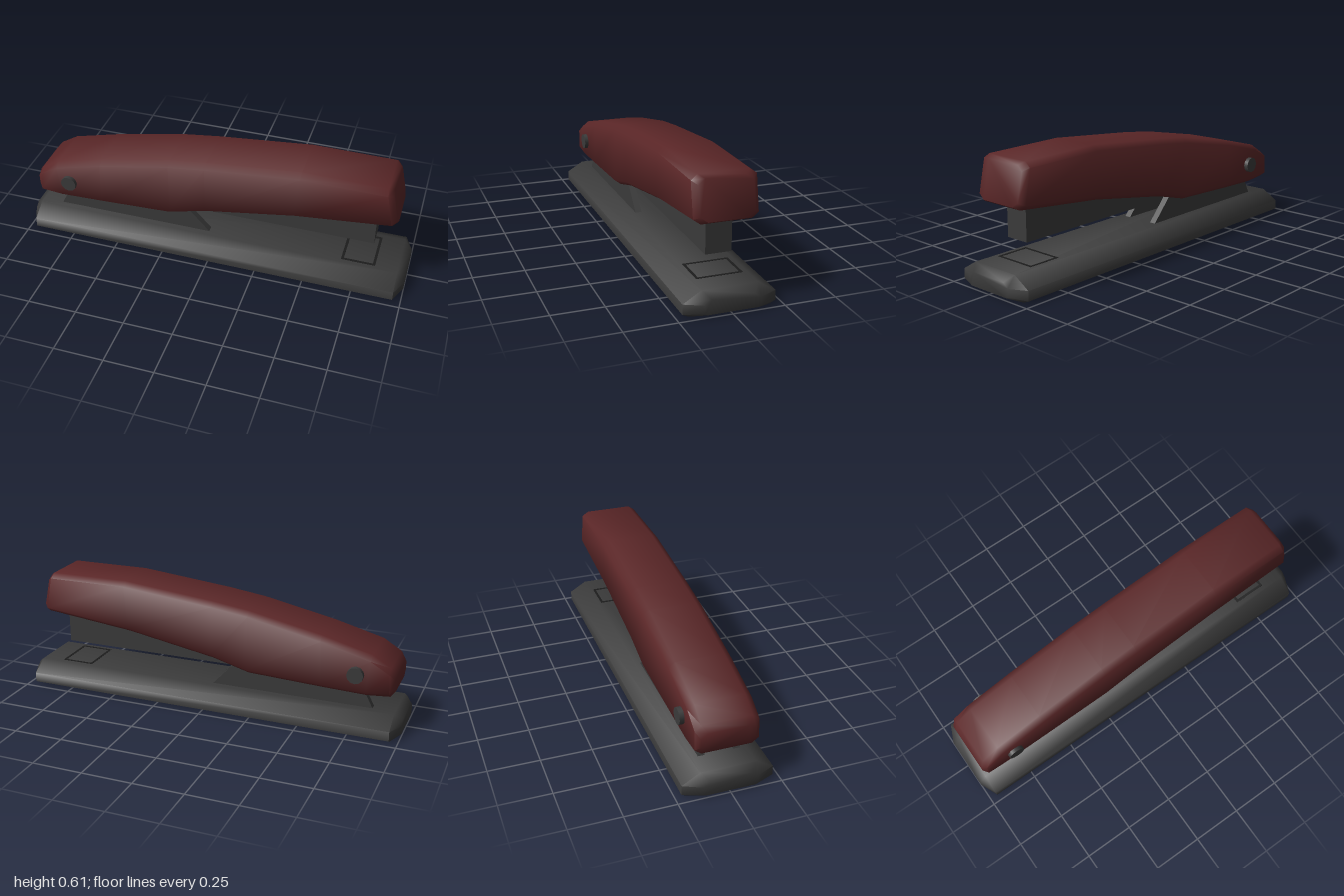
import * as THREE from 'three';
import { toCreasedNormals } from 'three/addons/utils/BufferGeometryUtils.js';

// Skin a row of equally sized rings (running towards +x) and close both ends.
function loft(rings, crease) {
  const n = rings[0].length, pos = rings.flat(2), idx = [];
  for (let r = 0; r < rings.length - 1; r++) {
    for (let i = 0; i < n; i++) {
      const a = r * n + i, b = r * n + (i + 1) % n;
      idx.push(a, b + n, b, a, a + n, b + n);
    }
  }
  const last = (rings.length - 1) * n;
  for (let i = 1; i < n - 1; i++) {
    idx.push(0, i, i + 1);
    idx.push(last, last + i + 1, last + i);
  }
  const geo = new THREE.BufferGeometry();
  geo.setAttribute('position', new THREE.Float32BufferAttribute(pos, 3));
  geo.setIndex(idx);
  return toCreasedNormals(geo, crease);
}

// Eight-sided arm ring between a top point and a bottom point, with bevelled corners.
function armRing([tx, ty, bx, by, hw]) {
  const at = (t, z) => [tx + (bx - tx) * t, ty + (by - ty) * t, z];
  const t = 0.024 / (ty - by), zi = hw - 0.033;
  return [at(0, zi), at(0, -zi), at(t, -hw), at(1 - t, -hw),
    at(1, -zi), at(1, zi), at(1 - t, hw), at(t, hw)];
}

// Base ring: wide low sides, long sloping shoulders, flat top.
function baseRing([x, top, shoulder, low, bottom, topZ, sideZ, bottomZ]) {
  return [[x, top, topZ], [x, top, -topZ], [x, shoulder, -sideZ], [x, low, -sideZ],
    [x, bottom, -bottomZ], [x, bottom, bottomZ], [x, low, sideZ], [x, shoulder, sideZ]];
}

export function createModel() {
  const model = new THREE.Group();
  const mat = (name, color) => {
    const m = new THREE.MeshStandardMaterial({ color });
    m.name = name;
    return m;
  };
  const red = mat('dark red', 0x5a2627);
  const grey = mat('charcoal', 0x3b3b3b);
  const black = mat('groove black', 0x1c1c1c);

  const add = (name, geo, material, x = 0, y = 0, z = 0) => {
    const mesh = new THREE.Mesh(geo, material);
    mesh.name = name;
    mesh.position.set(x, y, z);
    model.add(mesh);
  };

  // Base plate with tapered ends
  add('base', loft([
    [-1, 0.085, 0.062, 0.022, 0.015, 0.1, 0.13, 0.12],
    [-0.96, 0.117, 0.064, 0.015, 0.002, 0.133, 0.22, 0.19],
    [0.96, 0.117, 0.064, 0.015, 0.002, 0.133, 0.22, 0.19],
    [1, 0.085, 0.062, 0.022, 0.015, 0.1, 0.13, 0.12],
  ].map(baseRing), 1.1), grey);

  // Curved upper arm: top x, top y, bottom x, bottom y, half width
  add('arm', loft([
    [-0.955, 0.315, -0.955, 0.222, 0.13],
    [-0.93, 0.345, -0.935, 0.2, 0.153],
    [-0.84, 0.4, -0.82, 0.19, 0.153],
    [-0.59, 0.465, -0.6, 0.197, 0.153],
    [-0.22, 0.54, -0.22, 0.213, 0.153],
    [-0.03, 0.565, -0.03, 0.265, 0.153],
    [0.45, 0.613, 0.43, 0.345, 0.153],
    [0.865, 0.61, 0.905, 0.396, 0.153],
    [0.89, 0.594, 0.93, 0.41, 0.128],
  ].map(armRing), 1.0), red);

  // Staple magazine under the arm
  add('magazine', new THREE.BoxGeometry(1.02, 0.167, 0.126), grey, 0.313, 0.3, -0.001);

  // Bracket side plates
  const side = new THREE.Shape([[-0.85, 0.115], [-0.02, 0.115], [-0.145, 0.25], [-0.78, 0.25]]
    .map(([x, y]) => new THREE.Vector2(x, y)));
  const plate = new THREE.ExtrudeGeometry(side, { depth: 0.033, bevelEnabled: false });
  add('bracketLeft', plate, grey, 0, 0, 0.07);
  add('bracketRight', plate, grey, 0, 0, -0.102);

  // Hinge pin through the back of the arm
  const pin = new THREE.CylinderGeometry(0.041, 0.041, 0.348, 12);
  pin.rotateX(Math.PI / 2);
  add('hingePin', toCreasedNormals(pin, 0.7), grey, -0.77, 0.302, -0.002);

  // Thin outline of the anvil plate
  for (const s of [-1, 1]) {
    add('anvilGrooveAcross', new THREE.BoxGeometry(0.013, 0.004, 0.225), black, 0.76 + s * 0.08, 0.116, 0);
    add('anvilGrooveAlong', new THREE.BoxGeometry(0.173, 0.004, 0.013), black, 0.76, 0.116, s * 0.106);
  }
  return model;
}
